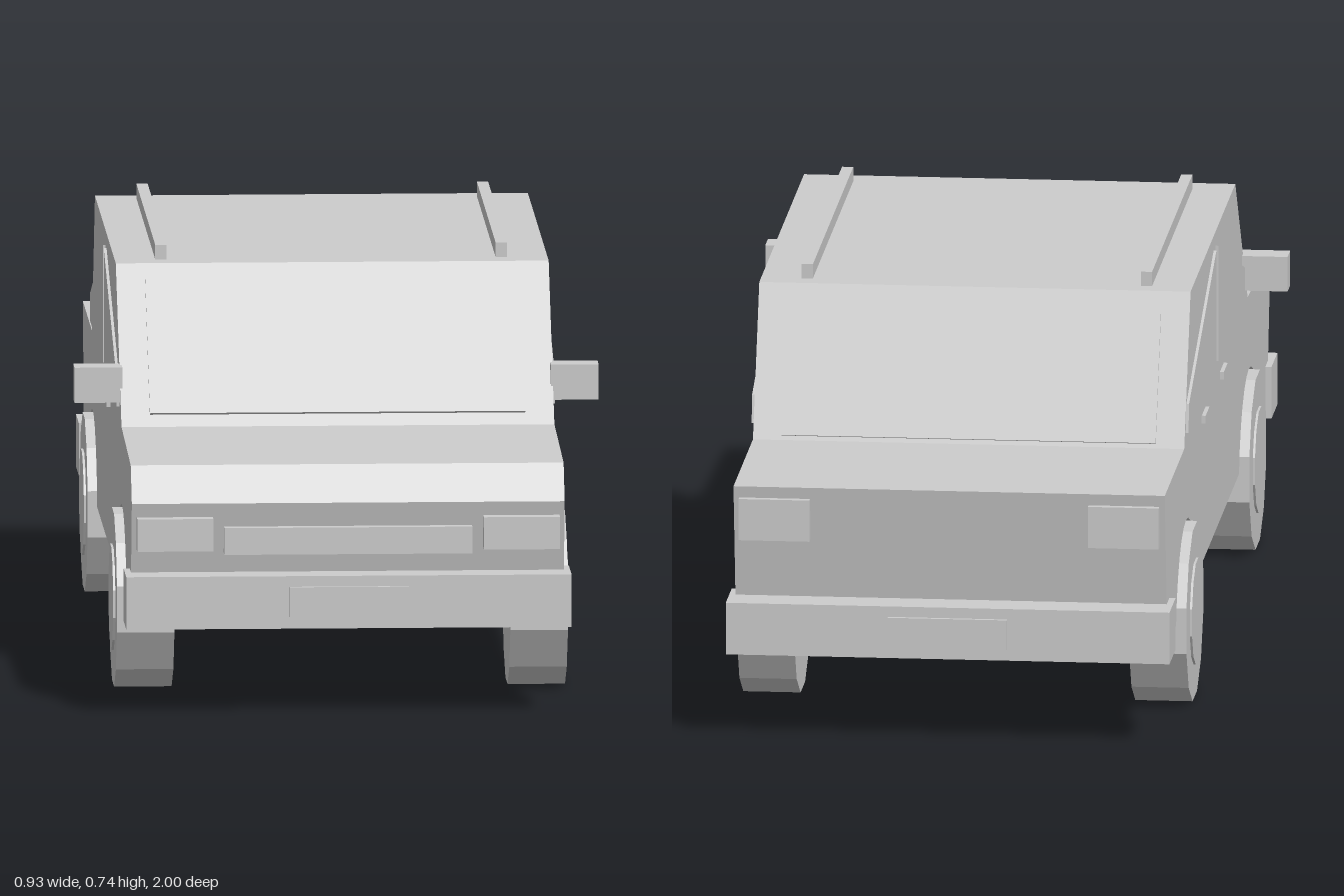
import * as THREE from 'three';

export function createModel() {
  const car = new THREE.Group();
  car.name = 'car';
  const grey = new THREE.MeshStandardMaterial({ color: 0xcccccc, flatShading: true });
  grey.name = 'grey';

  const add = (name, geometry) => {
    const mesh = new THREE.Mesh(geometry, grey);
    mesh.name = name;
    car.add(mesh);
    return mesh;
  };
  // Box given by its limits along each axis
  const box = (name, x0, x1, y0, y1, z0, z1) => {
    const mesh = add(name, new THREE.BoxGeometry(x1 - x0, y1 - y0, z1 - z0));
    mesh.position.set((x0 + x1) / 2, (y0 + y1) / 2, (z0 + z1) / 2);
    return mesh;
  };
  // Side outline in (z, y), extruded across x
  const sideExtrude = (shape, width) =>
    new THREE.ExtrudeGeometry(shape, { depth: width, bevelEnabled: false, curveSegments: 12 })
      .translate(0, 0, -width / 2).rotateY(-Math.PI / 2);
  const outline = (points) => new THREE.Shape(points.map(([z, y]) => new THREE.Vector2(z, y)));

  // Body with wheel arches cut through the full width
  const floor = 0.171, archY = 0.138, archR = 0.182;
  const axles = { front: 0.58, rear: -0.577 };
  const profile = [
    [0.915, floor], [0.965, 0.378], [0.922, 0.441], [0.559, 0.456], [0.333, 0.716],
    [-0.49, 0.716], [-0.607, 0.457], [-0.965, 0.457], [-0.915, floor],
  ];
  const start = Math.asin((floor - archY) / archR);
  for (const z of [axles.rear, axles.front]) {
    const steps = 12;
    for (let i = 0; i <= steps; i++) {
      const a = Math.PI - start - (i / steps) * (Math.PI - 2 * start);
      profile.push([z + archR * Math.cos(a), archY + archR * Math.sin(a)]);
    }
  }
  add('body', sideExtrude(outline(profile), 0.768));

  // Wheels, hubcaps and axles
  const disc = (name, radius, width, x, z) => {
    const geometry = new THREE.CylinderGeometry(radius, radius, width, 12)
      .rotateY(Math.PI / 12).rotateZ(Math.PI / 2);
    add(name, geometry).position.set(x, 0.155, z);
  };
  for (const [end, z] of Object.entries(axles)) {
    disc(end + 'Axle', 0.025, 0.62, 0, z);
    for (const s of [-1, 1]) {
      disc(end + 'Wheel', 0.16, 0.102, s * 0.349, z);
      disc(end + 'Hubcap', 0.095, 0.02, s * 0.394, z);
    }
  }

  // Bumpers and number plates
  box('frontBumper', -0.395, 0.395, 0.157, 0.251, 0.885, 0.993);
  box('rearBumper', -0.395, 0.395, 0.157, 0.251, -0.993, -0.882);
  box('frontPlate', -0.106, 0.106, 0.178, 0.232, 0.991, 1);
  box('rearPlate', -0.106, 0.106, 0.178, 0.232, -1, -0.991);
  box('grille', -0.22, 0.22, 0.287, 0.335, 0.93, 0.974);

  // Windscreen and rear window, laid on the sloping pillars
  const windscreen = box('windscreen', -0.333, 0.333, -0.152, 0.152, -0.005, 0.005);
  windscreen.position.set(0, 0.59, 0.4425);
  windscreen.rotation.x = -Math.atan2(0.226, 0.26);
  const rearWindow = box('rearWindow', -0.333, 0.333, -0.118, 0.118, -0.005, 0.005);
  rearWindow.position.set(0, 0.572, -0.555);
  rearWindow.rotation.x = Math.atan2(0.117, 0.259);

  // Parts repeated on both sides
  const frontGlass = outline([[-0.03, 0.48], [0.47, 0.48], [0.47, 0.53], [-0.03, 0.69]]);
  const rearGlass = outline([[-0.065, 0.48], [-0.065, 0.69], [-0.57, 0.53], [-0.58, 0.48]]);
  for (const s of [-1, 1]) {
    const pair = (name, x0, x1, ...rest) =>
      box(name, Math.min(s * x0, s * x1), Math.max(s * x0, s * x1), ...rest);
    pair('headlight', 0.24, 0.375, 0.295, 0.353, 0.94, 0.984);
    pair('tailLight', 0.248, 0.374, 0.361, 0.436, -0.974, -0.93);
    pair('mirror', 0.38, 0.465, 0.492, 0.555, 0.457, 0.506);
    pair('roofRail', 0.292, 0.312, 0.71, 0.742, -0.455, 0.288);
    for (const z of [0.085, -0.25]) pair('doorHandle', 0.38, 0.391, 0.427, 0.441, z - 0.035, z + 0.035);
    add('frontSideWindow', sideExtrude(frontGlass, 0.008)).position.x = s * 0.385;
    add('rearSideWindow', sideExtrude(rearGlass, 0.008)).position.x = s * 0.385;
  }
  return car;
}
